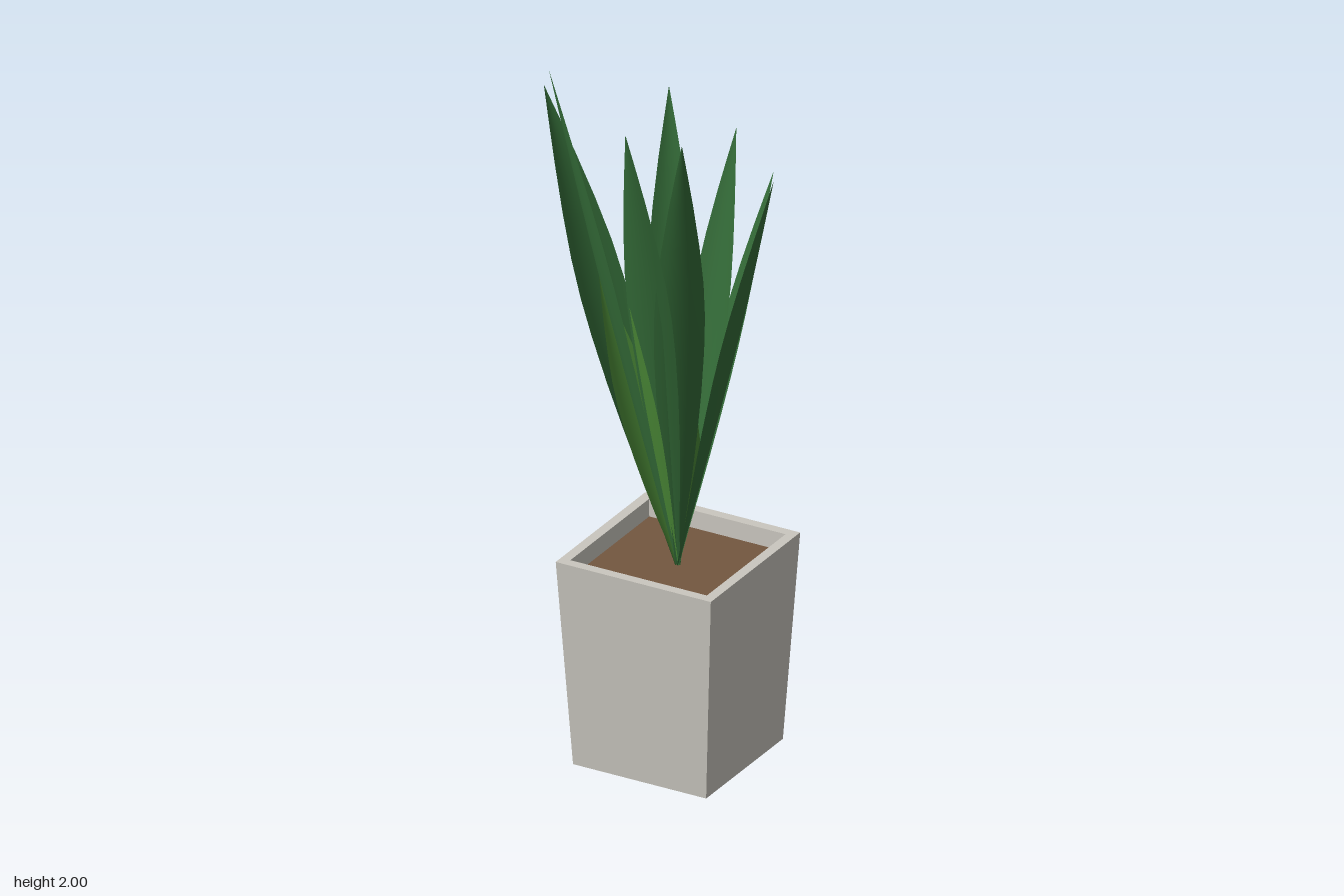
import * as THREE from 'three';

const material = (name, color, side = THREE.FrontSide) => {
  const m = new THREE.MeshStandardMaterial({ color, side });
  m.name = name;
  return m;
};

// Leaf half-width profile: [fraction of length, fraction of full half-width]
const PROFILE = [[0, 0.1], [0.1, 0.27], [0.2, 0.52], [0.3, 0.72], [0.4, 0.88], [0.5, 0.98],
  [0.58, 1], [0.66, 0.93], [0.75, 0.75], [0.85, 0.48], [0.93, 0.23], [1, 0]];
const ACROSS = 6;
const CENTRE = [0.025, -0.026];
const BASE_Y = 0.54;

// A gently cupped blade from the soil to the tip; side = horizontal width direction
function leafGeometry([tx, ty, tz], [sx, sz], halfWidth) {
  const base = new THREE.Vector3(CENTRE[0], BASE_Y, CENTRE[1]);
  const axis = new THREE.Vector3(tx, ty, tz).sub(base);
  const along = axis.clone().normalize();
  const side = new THREE.Vector3(sx, 0, sz);
  side.addScaledVector(along, -side.dot(along)).normalize();
  // The cup opens towards the middle of the plant
  const inward = new THREE.Vector3().crossVectors(along, side);
  if (inward.dot(new THREE.Vector3(axis.x, 0, axis.z)) > 0) inward.negate();

  const positions = [], index = [];
  for (const [t, w] of PROFILE) {
    for (let i = 0; i <= ACROSS; i++) {
      const u = (i / ACROSS) * 2 - 1;
      const p = base.clone().addScaledVector(axis, t)
        .addScaledVector(side, u * w * halfWidth)
        .addScaledVector(inward, (u * u - 0.4) * w * halfWidth * 0.25);
      positions.push(p.x, p.y, p.z);
    }
  }
  const row = ACROSS + 1;
  for (let j = 0; j < PROFILE.length - 1; j++) {
    for (let i = 0; i < ACROSS; i++) {
      const a = j * row + i, b = a + row;
      index.push(a, a + 1, b);
      if (j < PROFILE.length - 2) index.push(a + 1, b + 1, b);
    }
  }
  const g = new THREE.BufferGeometry();
  g.setAttribute('position', new THREE.Float32BufferAttribute(positions, 3));
  g.setIndex(index);
  g.computeVertexNormals();
  return g;
}

// tip, width direction, half-width
const TALL_LEAVES = [
  [[-0.34, 1.88, 0.04], [0.45, -0.89], 0.07],
  [[-0.253, 2.0, 0.165], [-0.72, -0.7], 0.07],
  [[0.03, 1.92, 0.257], [1, 0.08], 0.07],
  [[0.17, 1.9, 0.205], [0.74, -0.67], 0.068],
  [[0.338, 1.76, 0.017], [0.15, 0.99], 0.07],
  [[0.2, 1.65, -0.222], [0.75, 0.66], 0.066],
  [[0.08, 1.74, -0.235], [0.96, 0.25], 0.066],
  [[-0.085, 1.85, -0.17], [0.93, -0.37], 0.064],
];
const SHORT_LEAVES = [
  [[-0.055, 1.31, -0.213], [0.92, -0.38], 0.052],
  [[-0.18, 1.36, 0.03], [0.5, -0.87], 0.05],
  [[-0.03, 1.35, 0.132], [0.8, 0.6], 0.045],
  [[0.097, 1.14, 0.045], [0.72, -0.69], 0.045],
  [[0.05, 1.22, -0.09], [0.85, 0.53], 0.042],
];

export function createModel() {
  const model = new THREE.Group();
  model.name = 'pottedPlant';
  const stone = material('paleStone', 0xcac7bf);
  const earth = material('brownSoil', 0x735740);
  const darkGreen = material('darkGreen', 0x346c38, THREE.DoubleSide);
  const lightGreen = material('lightGreen', 0x4b8a37, THREE.DoubleSide);

  // Square tapered pot with a rim and a recess: bottom, outside, rim, inside
  const section = [[0, 0], [0.2, 0], [0.233, 0.595], [0.205, 0.595], [0.203, 0.53]]
    .map(([half, y]) => new THREE.Vector2(half * Math.SQRT2, y));
  const potGeometry = new THREE.LatheGeometry(section, 4, Math.PI / 4).toNonIndexed();
  potGeometry.computeVertexNormals();
  const pot = new THREE.Mesh(potGeometry, stone);
  pot.name = 'pot';
  pot.position.set(CENTRE[0], 0, CENTRE[1]);
  model.add(pot);

  // Soil surface
  const soil = new THREE.Mesh(new THREE.BoxGeometry(0.408, 0.02, 0.408), earth);
  soil.name = 'soil';
  soil.position.set(CENTRE[0], 0.535, CENTRE[1]);
  model.add(soil);

  // Two whorls of leaves
  const addWhorl = (name, leaves, mat) => {
    const whorl = new THREE.Group();
    whorl.name = name + 's';
    leaves.forEach((leaf, i) => {
      const mesh = new THREE.Mesh(leafGeometry(...leaf), mat);
      mesh.name = name + (i + 1);
      whorl.add(mesh);
    });
    model.add(whorl);
  };
  addWhorl('tallLeaf', TALL_LEAVES, darkGreen);
  addWhorl('shortLeaf', SHORT_LEAVES, lightGreen);
  return model;
}
